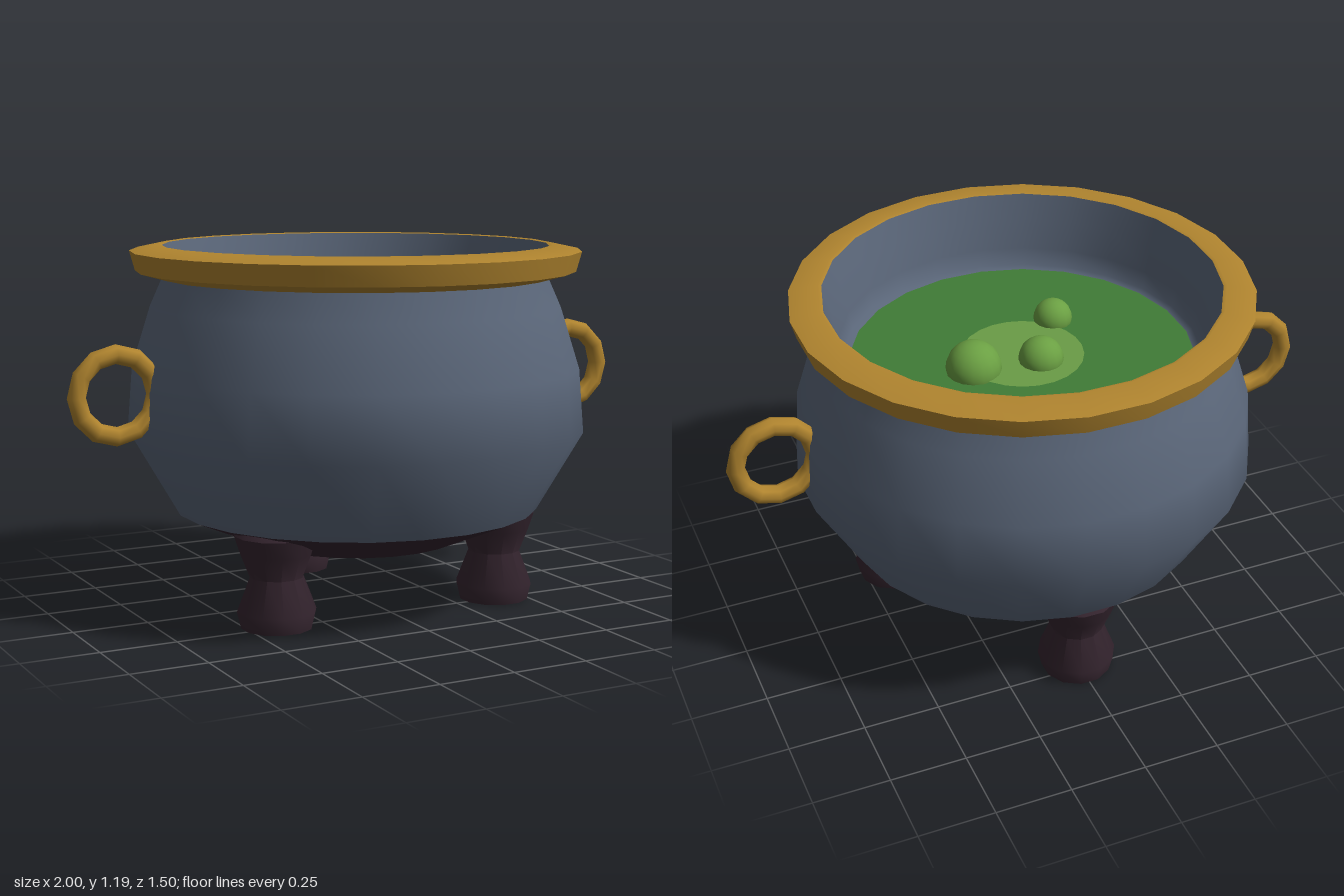
import * as THREE from 'three';
import { toCreasedNormals } from 'three/addons/utils/BufferGeometryUtils.js';

const material = (name, color, side = THREE.FrontSide) => {
  const m = new THREE.MeshStandardMaterial({ color, side });
  m.name = name;
  return m;
};

const SIDES = 24;
const lathe = (profile, sides = SIDES, crease = 0) => {
  const points = profile.map(([r, y]) => new THREE.Vector2(r, y));
  const geometry = new THREE.LatheGeometry(points, sides, Math.PI / sides);
  return crease ? toCreasedNormals(geometry, crease) : geometry;
};

export function createModel() {
  const slate = material('slate iron', 0x5b677a);
  const gold = material('old gold', 0xb1852f);
  const dark = material('dark iron', 0x35252f);
  const green = material('green brew', 0x407c36);
  const lightGreen = material('light green brew', 0x6a9c46);
  const bubbleGreen = material('bubble green', 0x6ba043);

  const model = new THREE.Group();
  model.name = 'cauldron';
  const add = (name, geometry, mat, x = 0, y = 0, z = 0) => {
    const mesh = new THREE.Mesh(geometry, mat);
    mesh.name = name;
    mesh.position.set(x, y, z);
    model.add(mesh);
    return mesh;
  };

  // Pot: outer wall, inner wall with a small ledge, and dark underside
  add('potWall', lathe([[0.605, 0.32], [0.755, 0.58], [0.738, 0.79], [0.675, 0.99], [0.635, 1.08], [0.635, 1.12]]), slate);
  add('potInside', lathe([[0.635, 1.187], [0.612, 1.1], [0.59, 1.0], [0.58, 0.94], [0.55, 0.93]]), slate);
  add('underside', lathe([[0, 0.21], [0.345, 0.21], [0.605, 0.32]], SIDES, 0.3), dark);

  // Rim band
  add('rim', lathe([[0.63, 1.08], [0.722, 1.105], [0.74, 1.17], [0.645, 1.19], [0.634, 1.187]], SIDES, 0.6), gold);

  // Brew surface with a lighter middle
  add('brew', lathe([[0.565, 0.933], [0, 0.933]]), green);
  add('brewMiddle', lathe([[0.2, 0.938], [0, 0.938]]), lightGreen);

  // Bubbles: x, z, radius
  for (const [x, z, r] of [[-0.04, -0.06, 0.073], [0.18, -0.03, 0.09], [-0.175, 0.16, 0.064]]) {
    add('bubble', new THREE.SphereGeometry(r, 16, 12), bubbleGreen, x, 0.945, z);
  }

  // Ring handles
  for (const side of [-1, 1]) {
    add(side > 0 ? 'leftHandle' : 'rightHandle', new THREE.TorusGeometry(0.13, 0.031, 8, 12), gold, side * 0.84, 0.74, 0);
  }

  // Three legs, one at the back and two in front
  const legShape = lathe([[0, 0], [0.115, 0], [0.128, 0.055], [0.086, 0.165], [0.115, 0.24], [0.135, 0.3], [0.12, 0.32], [0, 0.32]], 12, 0.8);
  for (let i = 0; i < 3; i++) {
    const a = Math.PI + i * Math.PI * 2 / 3;
    add('leg', legShape, dark, Math.sin(a) * 0.465, 0, Math.cos(a) * 0.465);
  }
  return model;
}
